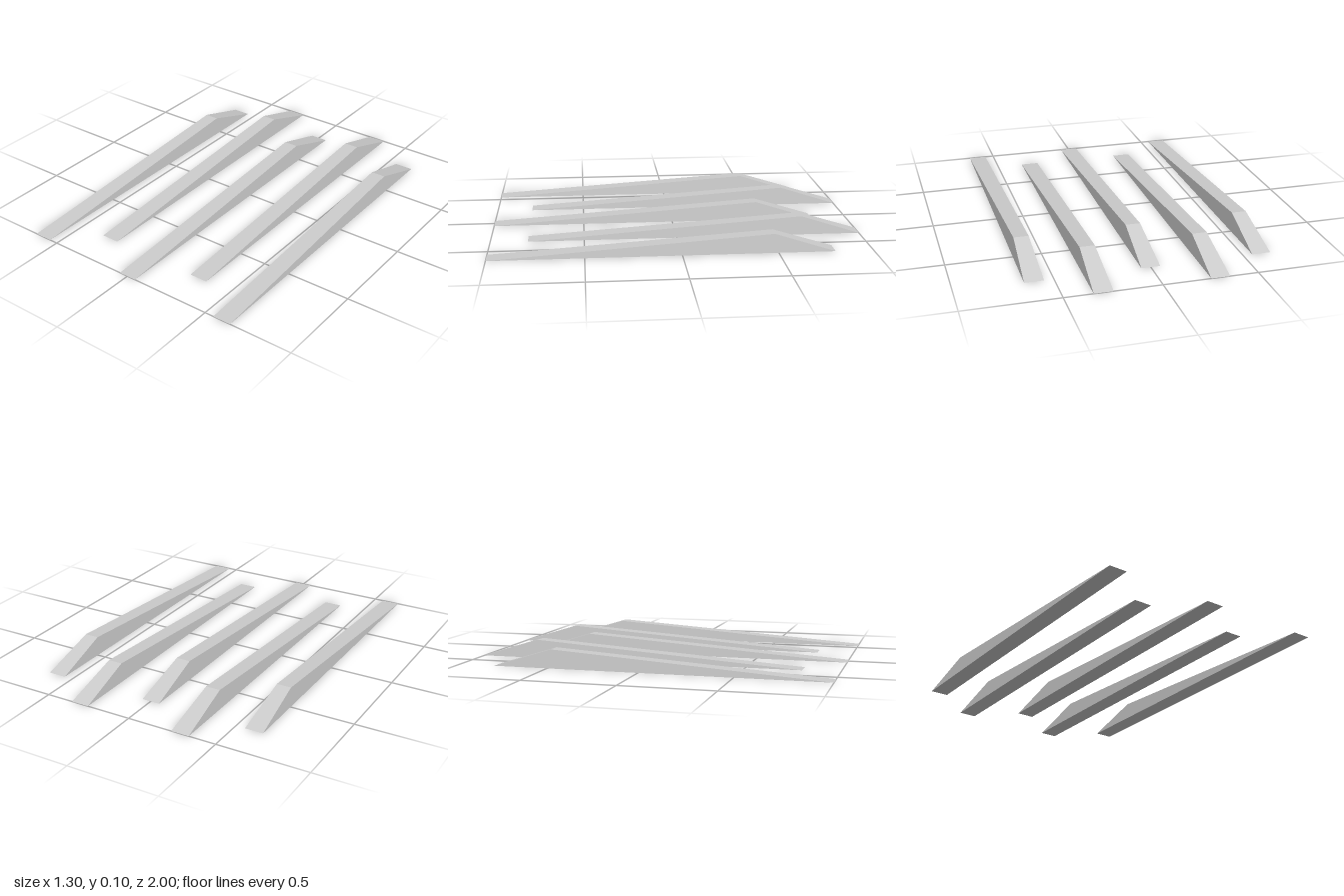
import * as THREE from 'three';

const LENGTH = 1.8, WIDTH = 0.1, HEIGHT = 0.1, RIDGE = 0.32, TOP_TAPER = 0.8;

// Wedge strip: long rise from the front, short drop at the back, narrower at the ridge
function wedgeGeometry() {
  const profile = new THREE.Shape();
  profile.moveTo(-LENGTH / 2, 0);
  profile.lineTo(LENGTH / 2, 0);
  profile.lineTo(-LENGTH / 2 + RIDGE, HEIGHT);
  profile.closePath();

  const geometry = new THREE.ExtrudeGeometry(profile, { depth: WIDTH, bevelEnabled: false });
  geometry.translate(0, 0, -WIDTH / 2);
  geometry.rotateY(-Math.PI / 2); // profile runs along z

  // Lean the sides inward towards the ridge
  const p = geometry.attributes.position;
  for (let i = 0; i < p.count; i++) {
    p.setX(i, p.getX(i) * THREE.MathUtils.lerp(1, TOP_TAPER, p.getY(i) / HEIGHT));
  }
  geometry.computeVertexNormals();
  return geometry;
}

export function createModel() {
  const group = new THREE.Group();
  group.name = 'wedgeStrips';
  const geometry = wedgeGeometry();
  const material = new THREE.MeshStandardMaterial({ color: 0xcccccc, flatShading: true });

  // Five strips, alternately shifted forward and back
  for (let i = 0; i < 5; i++) {
    const strip = new THREE.Mesh(geometry, material);
    strip.name = `strip${i + 1}`;
    strip.position.set((i - 2) * 0.3, 0, i % 2 === 0 ? 0.1 : -0.1);
    group.add(strip);
  }
  return group;
}
